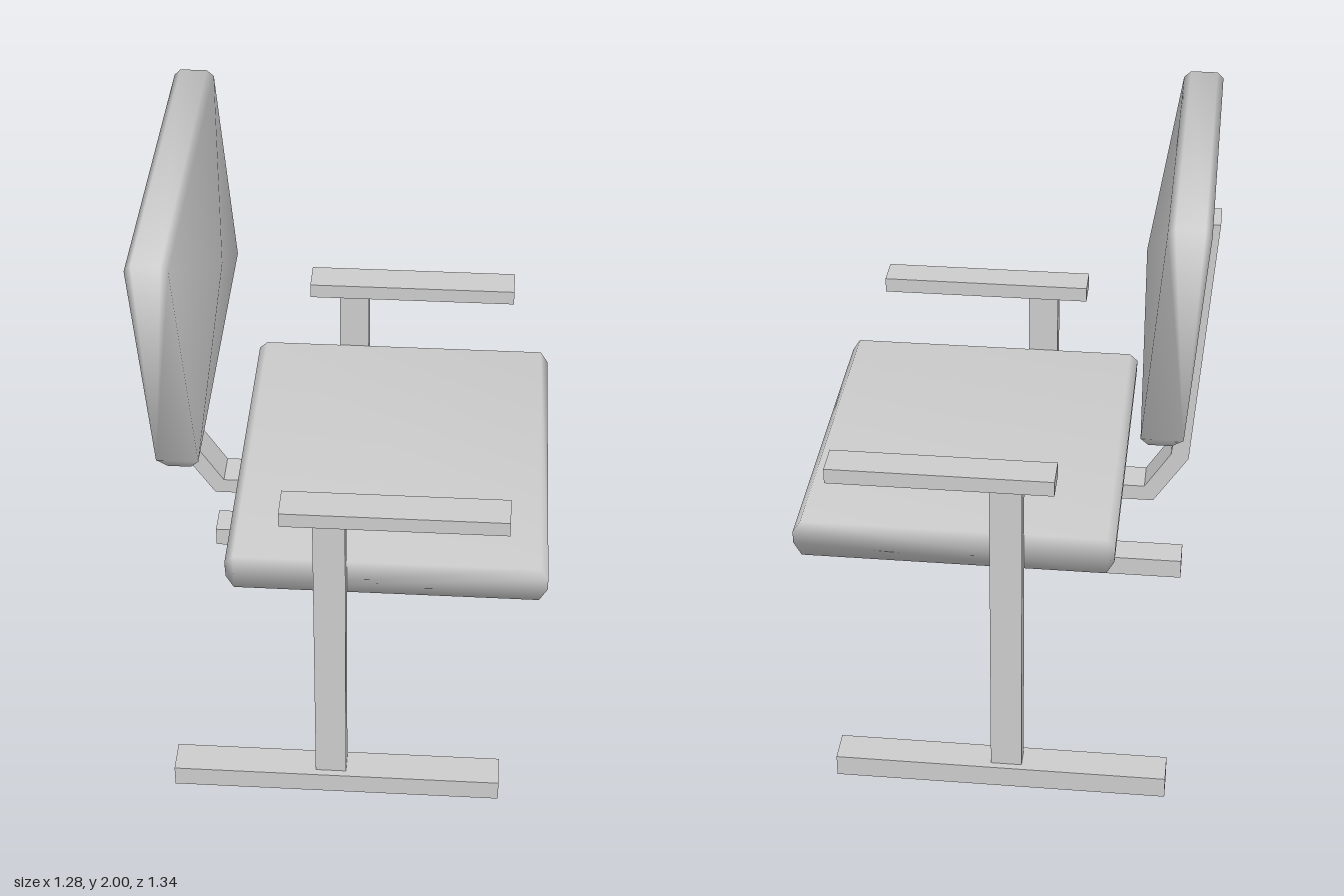
import * as THREE from 'three';

const material = new THREE.MeshStandardMaterial({ color: 0xcccccc });

function addMesh(parent, name, geometry) {
  const mesh = new THREE.Mesh(geometry, material);
  mesh.name = name;
  parent.add(mesh);
  return mesh;
}

// Box given by its limits on x and y, and its centre and width on z
function addBar(parent, name, [x0, x1], [y0, y1], z, width) {
  const bar = addMesh(parent, name, new THREE.BoxGeometry(x1 - x0, y1 - y0, width));
  bar.position.set((x0 + x1) / 2, (y0 + y1) / 2, z);
}

// Smoothly shaded prism across z from a convex counter-clockwise profile.
// One side may be raised to a shallow peak at its middle.
function cushion(profile, halfWidth, peakSide = -1, peak = null) {
  const n = profile.length;
  const positions = [];
  const index = [];
  for (const z of [-halfWidth, halfWidth]) {
    for (const [x, y] of profile) positions.push(x, y, z);
  }
  if (peak) positions.push(...peak);
  for (let i = 0; i < n; i++) {
    const j = (i + 1) % n;
    if (i === peakSide) {
      const ring = [i, j, j + n, i + n];
      ring.forEach((v, k) => index.push(v, ring[(k + 1) % 4], 2 * n));
    } else {
      index.push(i, j, i + n, j, j + n, i + n);
    }
  }
  for (let k = 1; k < n - 1; k++) {
    index.push(0, k + 1, k, n, n + k, n + k + 1);
  }
  const geometry = new THREE.BufferGeometry();
  geometry.setAttribute('position', new THREE.Float32BufferAttribute(positions, 3));
  geometry.setIndex(index);
  geometry.computeVertexNormals();
  return geometry;
}

export function createModel() {
  const chair = new THREE.Group();
  chair.name = 'armchair';

  // Side frames: floor runner, post and armrest
  for (const side of [-1, 1]) {
    const frame = new THREE.Group();
    frame.name = side > 0 ? 'leftSideFrame' : 'rightSideFrame';
    addBar(frame, 'floorRunner', [-0.557, 0.514], [0, 0.073], side * 0.61, 0.11);
    addBar(frame, 'post', [-0.09, 0.01], [0.073, 1.14], side * 0.608, 0.068);
    addBar(frame, 'armrest', [-0.19, 0.508], [1.14, 1.19], side * 0.61, 0.11);
    chair.add(frame);
  }

  // Seat cushion with rounded front and rear edges
  addMesh(chair, 'seat', cushion([
    [-0.345, 0.805], [0.61, 0.805], [0.635, 0.85], [0.635, 0.89],
    [0.61, 0.93], [-0.345, 0.93], [-0.372, 0.905], [-0.37, 0.85],
  ], 0.572));

  // Backrest cushion, its front face swelling to a point
  addMesh(chair, 'backrest', cushion([
    [-0.565, 1.3], [-0.53, 1.28], [-0.46, 1.28], [-0.437, 1.3],
    [-0.493, 1.98], [-0.515, 2], [-0.6, 2], [-0.62, 1.98],
  ], 0.568, 3, [-0.415, 1.64, 0]));

  // Bent bar running under the seat and up behind the backrest
  const outline = [
    [-0.64, 1.77], [-0.575, 0.92], [-0.465, 0.752], [0.512, 0.752],
    [0.512, 0.805], [-0.435, 0.805], [-0.518, 0.935], [-0.603, 1.77],
  ].map(([x, y]) => new THREE.Vector2(x, y));
  const support = addMesh(chair, 'backSupport', new THREE.ExtrudeGeometry(
    new THREE.Shape(outline), { depth: 0.114, bevelEnabled: false }));
  support.position.z = -0.07;

  // The whole chair is turned very slightly
  chair.rotation.y = -0.0085;
  const model = new THREE.Group();
  model.name = 'chairModel';
  model.add(chair);
  return model;
}
